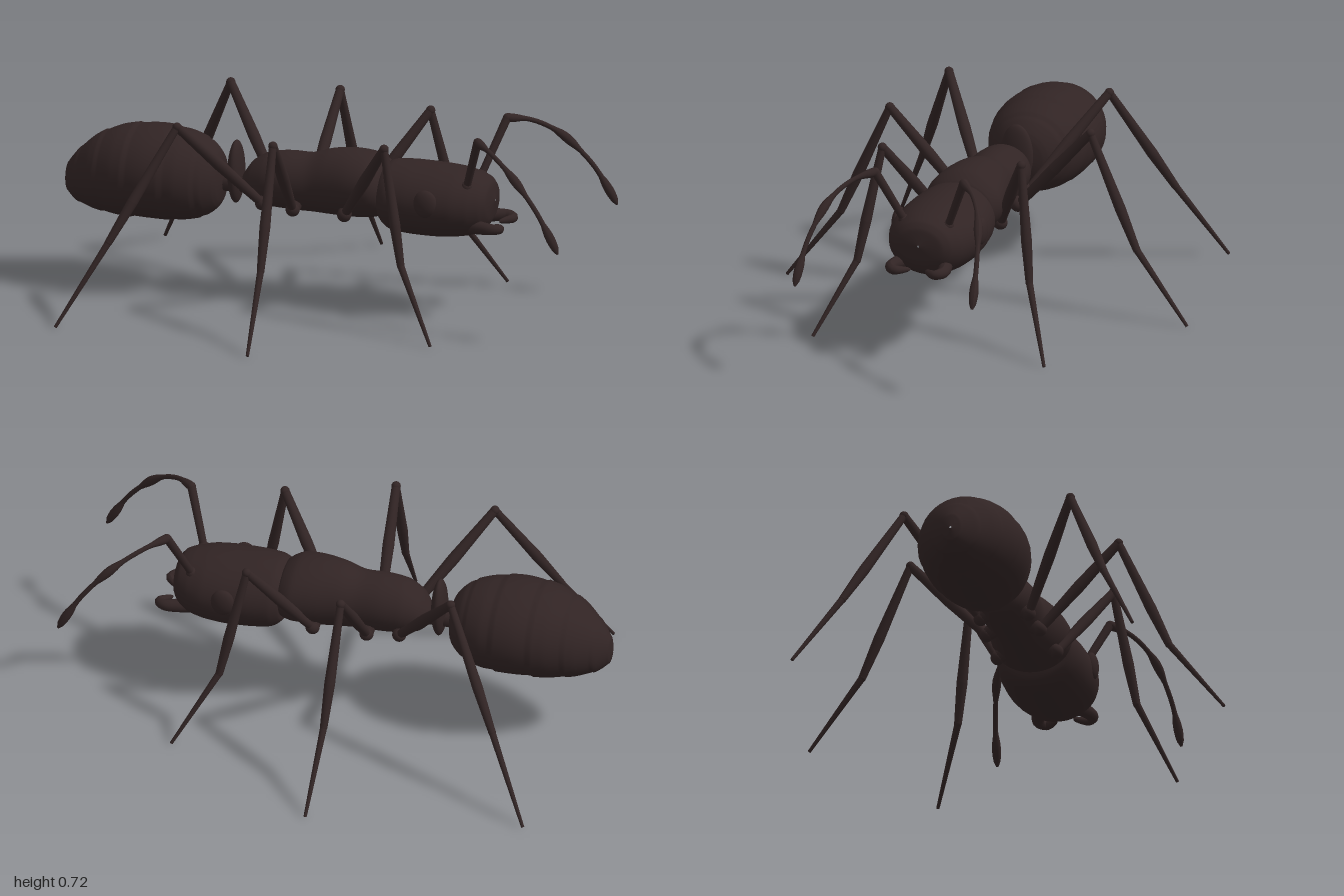
import * as THREE from 'three';

const shell = new THREE.MeshStandardMaterial({ color: 0x312424 });
shell.name = 'darkBrownShell';

const V = (p, side = 1) => new THREE.Vector3(p[0], p[1], p[2] * side);

function add(parent, name, geometry) {
  const mesh = new THREE.Mesh(geometry, shell);
  mesh.name = name;
  parent.add(mesh);
  return mesh;
}

// Smooth body along x from sections [x, centre y, half height, half width]
function loft(sections, rows = 60, bump = () => 1) {
  const mid = new THREE.CatmullRomCurve3(sections.map(s => new THREE.Vector3(s[0], s[1], 0)));
  const size = new THREE.CatmullRomCurve3(sections.map(s => new THREE.Vector3(0, s[2], s[3])));
  const n = 36, pos = [], idx = [];
  for (let i = 0; i <= rows; i++) {
    const c = mid.getPoint(i / rows), s = size.getPoint(i / rows), k = bump(i / rows);
    for (let j = 0; j < n; j++) {
      const a = j / n * Math.PI * 2;
      pos.push(c.x, c.y + Math.cos(a) * s.y * k, Math.sin(a) * s.z * k);
      if (i < rows) {
        const p = i * n + j, q = i * n + (j + 1) % n;
        idx.push(p, q, p + n, q, q + n, p + n);
      }
    }
  }
  const g = new THREE.BufferGeometry();
  g.setAttribute('position', new THREE.Float32BufferAttribute(pos, 3));
  g.setIndex(idx);
  g.computeVertexNormals();
  return g;
}

// Curved tube whose radius follows radius(t)
function taperedTube(points, radius, side) {
  const curve = new THREE.CatmullRomCurve3(points.map(p => V(p, side)));
  const rows = 28, n = 12;
  const g = new THREE.TubeGeometry(curve, rows, 1, n);
  const pos = g.attributes.position, v = new THREE.Vector3();
  for (let i = 0; i < pos.count; i++) {
    const t = Math.floor(i / (n + 1)) / rows, c = curve.getPointAt(t);
    v.fromBufferAttribute(pos, i).sub(c).multiplyScalar(radius(t)).add(c);
    pos.setXYZ(i, v.x, v.y, v.z);
  }
  g.computeVertexNormals();
  return g;
}

// Straight tapered segment between two points
function segment(parent, name, a, b, ra, rb) {
  const d = b.clone().sub(a);
  const m = add(parent, name, new THREE.CylinderGeometry(rb, ra, d.length(), 12));
  m.position.copy(a).addScaledVector(d, 0.5);
  m.quaternion.setFromUnitVectors(new THREE.Vector3(0, 1, 0), d.normalize());
}

function ball(parent, name, p, sx, sy, sz) {
  const m = add(parent, name, new THREE.SphereGeometry(1, 24, 16));
  m.position.copy(p);
  m.scale.set(sx, sy, sz);
  return m;
}

function leg(parent, name, side, points) {
  const g = new THREE.Group();
  g.name = name;
  parent.add(g);
  const [hip, knee, ankle, foot] = points.map(p => V(p, side));
  const inner = hip.clone().add(new THREE.Vector3(0, 0.04, -0.06 * side));
  segment(g, 'coxa', inner, hip, 0.034, 0.025);
  ball(g, 'hipJoint', hip, 0.026, 0.026, 0.026);
  const thigh = hip.clone().lerp(knee, 0.5);
  segment(g, 'femurLower', hip, thigh, 0.016, 0.022);
  segment(g, 'femurUpper', thigh, knee, 0.022, 0.016);
  ball(g, 'kneeJoint', knee, 0.017, 0.017, 0.017);
  const shin = knee.clone().lerp(ankle, 0.65);
  segment(g, 'tibiaUpper', knee, shin, 0.014, 0.02);
  segment(g, 'tibiaLower', shin, ankle, 0.02, 0.014);
  ball(g, 'ankleJoint', ankle, 0.014, 0.014, 0.014);
  segment(g, 'tarsus', ankle, foot, 0.013, 0.006);
}

export function createModel() {
  const ant = new THREE.Group();
  ant.name = 'ant';

  // Abdomen with overlapping plates
  add(ant, 'abdomen', loft([
    [-1, 0.385, 0.004, 0.004], [-0.99, 0.39, 0.05, 0.035], [-0.95, 0.40, 0.095, 0.085],
    [-0.88, 0.42, 0.137, 0.137], [-0.78, 0.435, 0.166, 0.18], [-0.66, 0.442, 0.173, 0.198],
    [-0.54, 0.437, 0.166, 0.185], [-0.45, 0.432, 0.137, 0.14], [-0.405, 0.428, 0.088, 0.085],
    [-0.385, 0.425, 0.004, 0.004],
  ], 100, t => 0.985 + 0.03 * ((t * 8) % 1)));

  // Waist
  const stalk = add(ant, 'waistStalk', new THREE.CylinderGeometry(0.032, 0.032, 0.16, 16));
  stalk.position.set(-0.35, 0.42, 0);
  stalk.rotation.z = Math.PI / 2;
  ball(ant, 'waistNode', new THREE.Vector3(-0.348, 0.465, 0), 0.028, 0.118, 0.063);

  // Thorax
  add(ant, 'thorax', loft([
    [-0.325, 0.43, 0.004, 0.004], [-0.315, 0.43, 0.035, 0.04], [-0.28, 0.44, 0.075, 0.08],
    [-0.22, 0.45, 0.1, 0.103], [-0.14, 0.453, 0.107, 0.11], [-0.06, 0.452, 0.108, 0.107],
    [0.02, 0.462, 0.121, 0.12], [0.11, 0.465, 0.125, 0.14], [0.18, 0.463, 0.118, 0.147],
    [0.23, 0.455, 0.095, 0.125], [0.255, 0.45, 0.004, 0.004],
  ]));

  // Head
  add(ant, 'head', loft([
    [0.215, 0.44, 0.004, 0.004], [0.225, 0.44, 0.105, 0.125], [0.26, 0.435, 0.128, 0.152],
    [0.34, 0.432, 0.134, 0.165], [0.43, 0.43, 0.133, 0.17], [0.51, 0.43, 0.127, 0.163],
    [0.57, 0.43, 0.115, 0.142], [0.61, 0.435, 0.095, 0.115], [0.63, 0.44, 0.066, 0.085],
    [0.642, 0.445, 0.004, 0.004],
  ]));

  for (const side of [1, -1]) {
    const word = side > 0 ? 'nearSide' : 'farSide';
    ball(ant, word + 'Eye', V([0.425, 0.452, 0.158], side), 0.045, 0.052, 0.024);

    // Hooked jaw
    add(ant, word + 'Jaw', taperedTube(
      [[0.54, 0.36, 0.06], [0.61, 0.362, 0.092], [0.66, 0.362, 0.1], [0.683, 0.36, 0.08], [0.645, 0.355, 0.03]],
      t => 0.003 + 0.027 * Math.sqrt(1 - t), side));

    // Elbowed feeler
    const feeler = new THREE.Group();
    feeler.name = word + 'Feeler';
    ant.add(feeler);
    const base = V([0.56, 0.51, 0.085], side), elbow = V([0.63, 0.708, 0.172], side);
    ball(feeler, 'socket', base, 0.022, 0.022, 0.022);
    segment(feeler, 'scape', base, elbow, 0.014, 0.016);
    ball(feeler, 'elbow', elbow, 0.016, 0.016, 0.016);
    add(feeler, 'whip', taperedTube(
      [[0.63, 0.708, 0.172], [0.7, 0.69, 0.235], [0.79, 0.635, 0.29], [0.9, 0.52, 0.328], [0.96, 0.425, 0.34], [0.993, 0.365, 0.345]],
      t => t > 0.97 ? 0.004 : 0.009 + 0.008 * Math.max(0, Math.sin((t - 0.78) / 0.22 * Math.PI)), side));

    // Three legs: hip, knee, ankle, foot
    leg(ant, word + 'FrontLeg', side,
      [[0.1, 0.37, 0.11], [0.305, 0.68, 0.27], [0.39, 0.265, 0.335], [0.54, 0.006, 0.45]]);
    leg(ant, word + 'MiddleLeg', side,
      [[-0.1, 0.37, 0.1], [-0.08, 0.69, 0.39], [-0.066, 0.27, 0.575], [-0.05, 0.006, 0.778]]);
    leg(ant, word + 'RearLeg', side,
      [[-0.22, 0.38, 0.09], [-0.472, 0.705, 0.312], [-0.675, 0.3, 0.49], [-0.83, 0.006, 0.638]]);
  }
  return ant;
}
